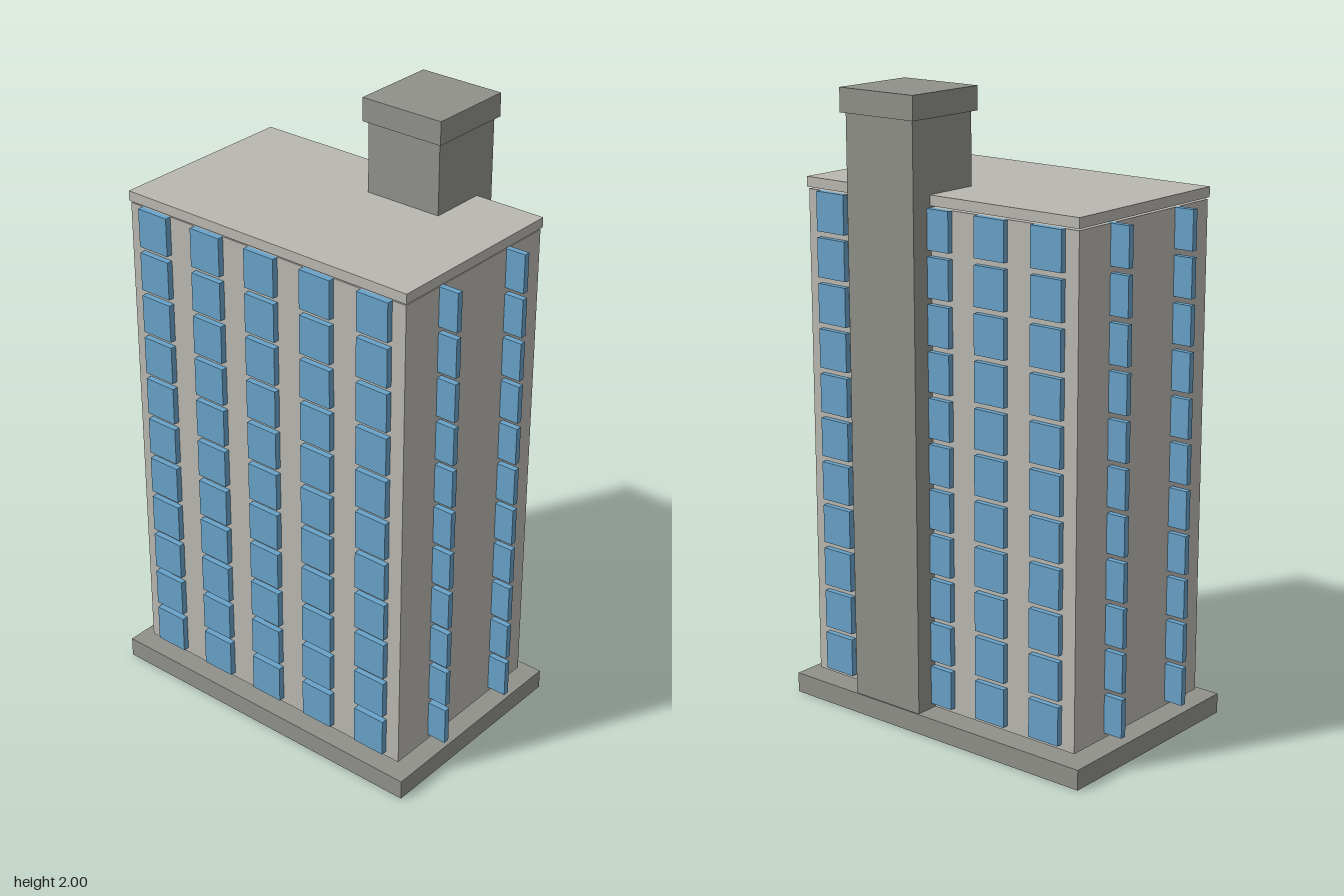
import * as THREE from 'three';

export function createModel() {
  const model = new THREE.Group();
  model.name = 'apartmentTower';

  const material = (name, color) => {
    const m = new THREE.MeshStandardMaterial({ color });
    m.name = name;
    return m;
  };
  const wall = material('pale concrete', 0xbab8b1);
  const stone = material('dark concrete', 0x91918b);
  const glass = material('blue glass', 0x68a2c8);

  // Box given by its lower and upper limits on each axis
  const block = (name, mat, [x0, x1], [y0, y1], [z0, z1], parent = model) => {
    const mesh = new THREE.Mesh(new THREE.BoxGeometry(x1 - x0, y1 - y0, z1 - z0), mat);
    mesh.position.set((x0 + x1) / 2, (y0 + y1) / 2, (z0 + z1) / 2);
    mesh.name = name;
    parent.add(mesh);
  };

  // Plinth, main block and roof slab, with narrow shadow gaps between them
  block('plinth', stone, [-0.575, 0.575], [0, 0.065], [-0.346, 0.384]);
  block('mainBlock', wall, [-0.522, 0.522], [0.083, 1.662], [-0.295, 0.333]);
  block('roofSlab', wall, [-0.526, 0.526], [1.668, 1.7], [-0.3, 0.337]);

  // Lift shaft at the back with its overhanging cap
  block('liftShaft', stone, [0.025, 0.287], [0.083, 1.926], [-0.373, -0.112]);
  block('liftShaftCap', stone, [0.011, 0.298], [1.926, 2], [-0.387, -0.1]);

  // Windows: eleven floors, five columns front and back, two fins on each side
  const windows = new THREE.Group();
  windows.name = 'windows';
  model.add(windows);
  const columns = [];
  for (let i = -2; i <= 2; i++) {
    columns.push(['frontWindow', i * 0.209, 0.342]);
    if (i !== 1) columns.push(['backWindow', i * 0.209, -0.303]); // shaft covers one column
  }
  for (const x of [-0.531, 0.531]) {
    for (const z of [-0.139, 0.175]) columns.push(['sideWindow', x, z]);
  }
  for (let floor = 0; floor < 11; floor++) {
    const y = 0.1 + floor * 0.1438;
    for (const [name, x, z] of columns) {
      const half = name === 'frontWindow' || name === 'backWindow' ? 0.011 : 0.01;
      block(name, glass, [x - 0.056, x + 0.056], [y, y + 0.124], [z - half, z + half], windows);
    }
  }

  return model;
}
